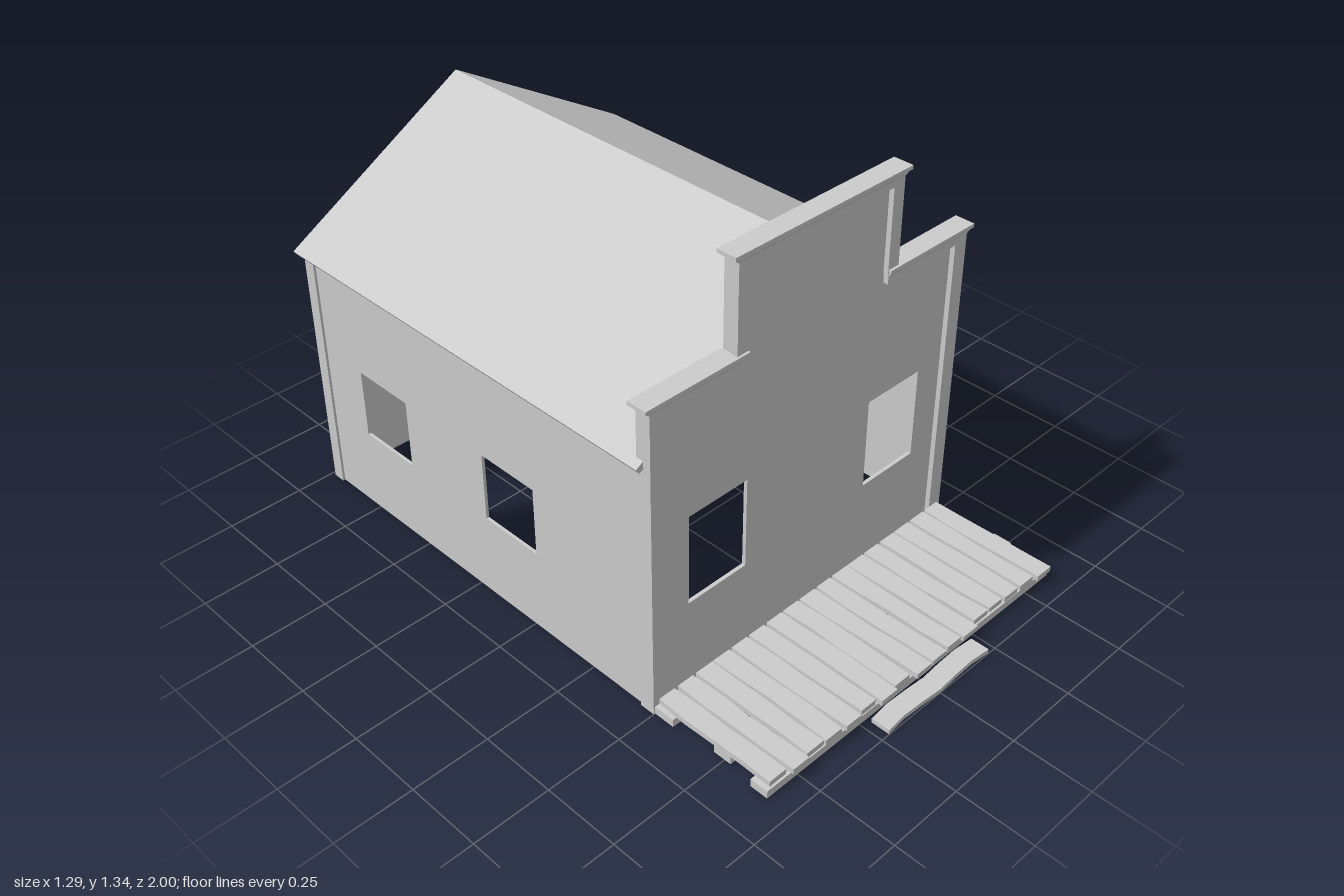
import * as THREE from 'three';

const mat = new THREE.MeshStandardMaterial({ color: 0xcccccc, flatShading: true, side: THREE.DoubleSide });

export function createModel() {
  const root = new THREE.Group();

  const add = (name, geo, parent = root) => {
    const mesh = new THREE.Mesh(geo, mat);
    mesh.name = name;
    parent.add(mesh);
    return mesh;
  };
  const group = (name) => {
    const g = new THREE.Group();
    g.name = name;
    root.add(g);
    return g;
  };
  // box given by its limits
  const box = (name, x0, x1, y0, y1, z0, z1, parent) => {
    const g = new THREE.BoxGeometry(x1 - x0, y1 - y0, z1 - z0);
    g.translate((x0 + x1) / 2, (y0 + y1) / 2, (z0 + z1) / 2);
    return add(name, g, parent);
  };
  // thin panel from an outline, with rectangular window openings [x0, x1, y0, y1]
  const panel = (points, windows, depth) => {
    const shape = new THREE.Shape(points.map(([x, y]) => new THREE.Vector2(x, y)));
    for (const [x0, x1, y0, y1] of windows) {
      shape.holes.push(new THREE.Path([[x0, y0], [x0, y1], [x1, y1], [x1, y0]].map(([x, y]) => new THREE.Vector2(x, y))));
    }
    return new THREE.ExtrudeGeometry(shape, { depth, bevelEnabled: false });
  };
  // small seeded generator, -1..1
  let seed = 7;
  const rnd = () => {
    seed = (seed * 16807) % 2147483647;
    return (seed / 2147483647) * 2 - 1;
  };

  // stepped false front
  const facade = group('falseFront');
  const half = [[0.59, 0], [0.59, 1.0], [0.29, 1.0], [0.29, 1.31]];
  const outline = [...half, ...half.map(([x, y]) => [-x, y]).reverse()];
  add('frontWall', panel(outline, [[-0.47, -0.25, 0.3, 0.6], [0.25, 0.47, 0.3, 0.6]], 0.012).translate(0, 0, 0.472), facade);

  // cornice: flat cap over a flared moulding
  const cornice = (name, x0, x1, y, inset0, inset1) => {
    const g = group(name);
    box(name + 'Cap', x0, x1, y + 0.012, y + 0.024, 0.442, 0.508, g);
    const w = x1 - x0, flare = new THREE.BoxGeometry(w, 0.014, 0.06);
    const p = flare.attributes.position;
    for (let i = 0; i < p.count; i++) {
      const low = p.getY(i) < 0;
      const end = p.getX(i) < 0 ? inset0 : -inset1;
      p.setX(i, p.getX(i) + end * (low ? 1 : 0.3));
      if (low) p.setZ(i, Math.sign(p.getZ(i)) * 0.025);
    }
    flare.translate((x0 + x1) / 2, y + 0.005, 0.475);
    add(name + 'Moulding', flare, g);
  };
  cornice('topCornice', -0.335, 0.335, 1.312, 0.018, 0.018);
  cornice('rightCornice', -0.64, -0.275, 1.012, 0.018, 0);
  cornice('leftCornice', 0.275, 0.64, 1.012, 0, 0.018);

  // false front posts and rails, back corner posts
  box('topRail', -0.315, 0.315, 1.29, 1.315, 0.45, 0.5, facade);
  for (const s of [-1, 1]) {
    const span = (name, a, b, ...rest) => box(name, Math.min(s * a, s * b), Math.max(s * a, s * b), ...rest);
    span('frontPost', 0.57, 0.62, 0, 1.012, 0.45, 0.5, facade);
    span('shoulderRail', 0.275, 0.57, 0.99, 1.012, 0.45, 0.5, facade);
    span('towerPost', 0.272, 0.315, 1.012, 1.29, 0.45, 0.5, facade);
    span('backPost', 0.57, 0.62, 0, 0.845, -0.985, -0.943);
  }

  // side walls, the right one with two windows
  const sideOutline = [[-0.97, 0], [0.475, 0], [0.475, 0.842], [-0.97, 0.842]];
  const sideWall = (name, x, windows) => {
    const g = panel(sideOutline, windows, 0.01);
    g.rotateY(-Math.PI / 2); // outline x becomes z, depth goes to -x
    g.translate(x, 0, 0);
    add(name, g);
  };
  sideWall('leftWall', 0.612, []);
  sideWall('rightWall', -0.602, [[-0.77, -0.55, 0.275, 0.505], [-0.2, 0.02, 0.275, 0.505]]);

  // gabled back wall
  add('backWall', panel([[-0.605, 0], [0.605, 0], [0.605, 0.842], [0, 1.198], [-0.605, 0.842]], [], 0.01).translate(0, 0, -0.977));

  // pitched roof with square-cut eaves
  const roof = panel([[0, 1.22], [-0.645, 0.845], [-0.633, 0.828], [0, 1.197], [0.633, 0.828], [0.645, 0.845]], [], 1.475);
  add('roof', roof.translate(0, 0, -1));

  // boardwalk: three bearers and uneven planks
  const porch = group('boardwalk');
  box('bearer', -0.615, 0.61, 0, 0.026, 0.5, 0.57, porch);
  box('bearer', -0.6, 0.63, 0, 0.026, 0.71, 0.772, porch);
  box('bearer', -0.617, 0.612, 0, 0.026, 0.86, 0.92, porch);
  const planks = 17;
  for (let i = 0; i < planks; i++) {
    const len = 0.425 + 0.012 * rnd();
    const g = new THREE.BoxGeometry(0.062, 0.018, len, 1, 1, 4);
    const p = g.attributes.position;
    const wobble = Array.from({ length: 10 }, () => 0.004 * rnd());
    for (let k = 0; k < p.count; k++) {
      const row = Math.round((p.getZ(k) / len + 0.5) * 4);
      p.setX(k, p.getX(k) + wobble[row * 2 + (p.getX(k) > 0 ? 1 : 0)]);
    }
    g.translate(-0.57 + i * 1.145 / (planks - 1), 0.035, 0.5 + len / 2);
    add('plank', g, porch);
  }

  // worn step board
  const step = new THREE.BoxGeometry(0.44, 0.015, 0.062, 6, 1, 1);
  const sp = step.attributes.position;
  for (let i = 0; i < sp.count; i++) sp.setZ(i, sp.getZ(i) + 0.004 * Math.cos(sp.getX(i) * 25));
  add('step', step.translate(0, 0.0075, 0.965));

  return root;
}
